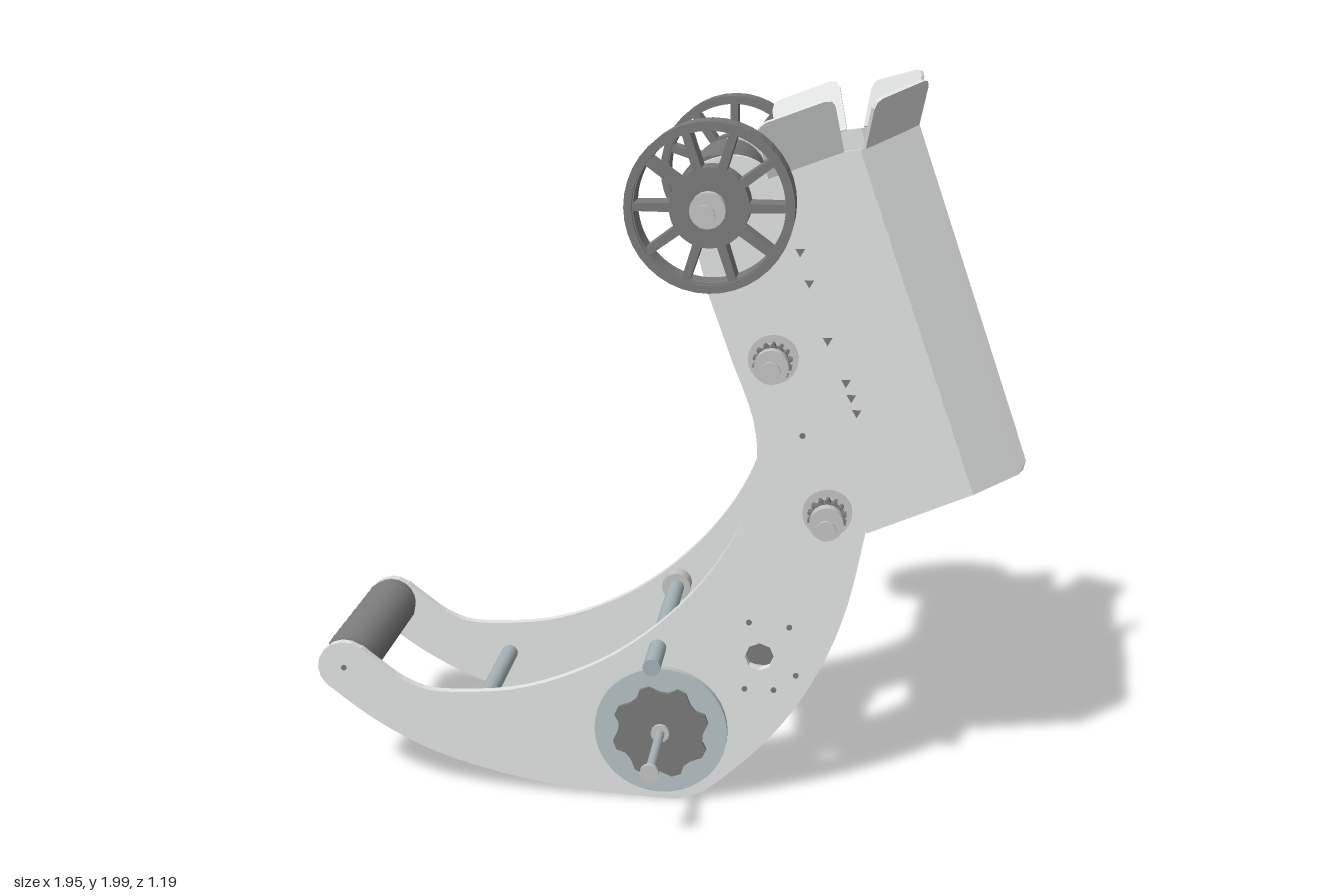
import * as THREE from 'three';
import { ConvexGeometry } from 'three/addons/geometries/ConvexGeometry.js';

const material = (name, color) => {
  const m = new THREE.MeshStandardMaterial({ color });
  m.name = name;
  return m;
};

export function createModel() {
  const model = new THREE.Group();
  const sheet = material('light sheet metal', 0xe2e3e3);
  const dark = material('dark rubber', 0x7a7a7a);
  const steel = material('blue steel', 0xa6b2b7);
  const disc = material('pale disc', 0xb6c2c5);
  const hubGrey = material('hub grey', 0xc4c4c4);
  const V = (x, y, z) => new THREE.Vector3(x, y, z);

  const add = (name, geo, mat, x = 0, y = 0, z = 0) => {
    const m = new THREE.Mesh(geo, mat);
    m.name = name;
    m.position.set(x, y, z);
    model.add(m);
    return m;
  };
  // Cylinder along z between z0 and z1
  const rod = (name, x, y, r, z0, z1, mat, sides = 20, r2 = r) => {
    const geo = new THREE.CylinderGeometry(r2, r, Math.abs(z1 - z0), sides);
    geo.rotateX(Math.PI / 2);
    return add(name, geo, mat, x, y, (z0 + z1) / 2);
  };
  // Extruded shape centred on its own z
  const extrude = (shape, depth, curveSegments = 10) => {
    const geo = new THREE.ExtrudeGeometry(shape, { depth, bevelEnabled: false, curveSegments });
    return geo.translate(0, 0, -depth / 2);
  };
  const circlePath = (x, y, r) => new THREE.Path().absarc(x, y, r, 0, Math.PI * 2, true);
  // Toothed outline
  const gearShape = (teeth, rIn, rOut) => {
    const s = new THREE.Shape();
    for (let i = 0; i < teeth; i++) {
      [[0, rIn], [0.3, rOut], [0.55, rOut], [0.75, rIn]].forEach(([f, r], k) => {
        const a = ((i + f) / teeth) * Math.PI * 2;
        s[i || k ? 'lineTo' : 'moveTo'](r * Math.cos(a), r * Math.sin(a));
      });
    }
    s.closePath();
    return s;
  };
  // Thin flat panel from corner points
  const slab = (name, corners, t = 0.01) => {
    const n = corners[1].clone().sub(corners[0]).cross(corners[2].clone().sub(corners[0])).setLength(t / 2);
    const pts = corners.flatMap((c) => [c.clone().add(n), c.clone().sub(n)]);
    return add(name, new ConvexGeometry(pts), sheet);
  };
  // Flap with clipped outer corners: base corner a, base edge e, reach d
  const flap = (name, a, e, d) => slab(name,
    [[0, 0], [1, 0], [1, 0.84], [0.96, 0.96], [0.88, 1], [0.12, 1], [0.04, 0.96], [0, 0.84]]
      .map(([u, v]) => a.clone().addScaledVector(e, u).addScaledVector(d, v)));

  // Curved side plate outline
  const v2 = (list) => list.map(([x, y]) => new THREE.Vector2(x, y));
  const plate = new THREE.Shape();
  plate.moveTo(-0.95, 0.3);
  plate.splineThru(v2([[-0.8, 0.19], [-0.6, 0.095], [-0.3, 0.025], [0, 0.002], [0.07, 0.01], [0.14, 0.045],
    [0.3, 0.2], [0.42, 0.38], [0.5, 0.58], [0.55, 0.82]]));
  plate.lineTo(0.32, 1.65);
  plate.splineThru(v2([[0.29, 1.75], [0.2, 1.8], [0.09, 1.77], [0.06, 1.68]]));
  plate.lineTo(0.125, 1.44);
  plate.lineTo(0.19, 1.26);
  plate.splineThru(v2([[0.247, 1.1], [0.252, 0.95], [0.2, 0.79], [0.1, 0.635], [-0.04, 0.495], [-0.2, 0.39],
    [-0.4, 0.315], [-0.62, 0.295], [-0.72, 0.32], [-0.8, 0.375], [-0.85, 0.415]]));
  plate.absarc(-0.9, 0.355, 0.075, 0.9, Math.PI + 0.8, false);
  plate.holes.push(circlePath(0.27, 0.44, 0.04), circlePath(-0.01, 0.455, 0.024));
  const plateGeo = extrude(plate, 0.024, 4);

  // Spoked wheel disc
  const wheel = new THREE.Shape().absarc(0, 0, 0.205, 0, Math.PI * 2, false);
  const spokes = 10;
  for (let i = 0; i < spokes; i++) {
    const a = ((i + 0.5) / spokes) * Math.PI * 2;
    const hole = new THREE.Path();
    hole.absarc(0, 0, 0.188, a - 0.26, a + 0.26, false);
    hole.absarc(0, 0, 0.1, a + 0.2, a - 0.2, true);
    hole.closePath();
    wheel.holes.push(hole);
  }
  const wheelGeo = extrude(wheel, 0.09, 18);
  const tyre = new THREE.Shape().absarc(0, 0, 0.212, 0, Math.PI * 2, false);
  tyre.holes.push(circlePath(0, 0, 0.192));
  const tyreGeo = extrude(tyre, 0.112, 20);
  const smallGear = extrude(gearShape(14, 0.042, 0.052), 0.03);

  const rollers = [[0.14, 1.69], [0.295, 1.275], [0.445, 0.86]];
  const boltSpots = [[0.24, 0.54], [0.35, 0.53], [0.23, 0.345], [0.31, 0.345], [0.37, 0.39], [0.375, 1.07],
    [0.16, 1.46], [-0.9, 0.355]];

  for (const s of [1, -1]) {
    add('sidePlate', plateGeo, sheet, 0, 0, s * 0.264);
    for (const [x, y] of boltSpots) rod('plateBolt', x, y, 0.008, s * 0.274, s * 0.28, dark, 8);

    // Folded guide panels with flared flaps
    const P = (x, y, z) => V(x, y, s * z);
    slab('guidePanel', [P(0.55, 0.81, 0.285), P(0.825, 0.927, 0.285), P(0.505, 1.82, 0.285),
      P(0.465, 1.815, 0.285), P(0.27, 1.745, 0.285)]);
    slab('guideFlange', [P(0.825, 0.927, 0.285), P(0.65, 1.87, 0.133), P(0.505, 1.82, 0.285),
      P(0.947, 0.949, 0.163), P(0.96, 0.958, 0.145), P(0.967, 0.98, 0.133)]);
    flap('flangeFlap', P(0.515, 1.823, 0.28), P(0.135, 0.047, -0.147), P(0.022, 0.122, 0.053));
    flap('panelFlap', P(0.275, 1.745, 0.285), P(0.19, 0.07, 0), P(-0.028, 0.137, 0.055));
    for (const [x, y] of [[0.36, 1.56], [0.385, 1.48], [0.435, 1.33], [0.485, 1.22], [0.5, 1.18], [0.515, 1.14]])
      rod('panelRivet', x, y, 0.014, s * 0.287, s * 0.292, dark, 3);

    // Wheel
    const [wx, wy] = rollers[0];
    add('wheel', wheelGeo, dark, wx, wy, s * 0.4).rotation.z = s > 0 ? 0 : Math.PI / spokes;
    add('tyre', tyreGeo, dark, wx, wy, s * 0.4);

    // Roller bearings, gears and axle ends
    rollers.forEach(([x, y], i) => {
      const out = i ? 0 : 0.12;
      rod('bearing', x, y, 0.045, s * 0.215, s * 0.29, hubGrey);
      rod('bearingFlange', x, y, 0.066, s * 0.276, s * 0.284, hubGrey, 24);
      rod('gearBoss', x, y, 0.04, s * 0.28, s * 0.35, dark, 12);
      add('rollerGear', smallGear, dark, x, y, s * 0.315);
      rod('collar', x, y, 0.045, s * (0.345 + out), s * (0.38 + out), hubGrey, 16);
      rod('axleEnd', x, y, 0.013, s * 0.28, s * (i ? 0.435 : 0.59), steel, 10);
      rod('axleHead', x, y, 0.027, s * (i ? 0.427 : 0.582), s * (i ? 0.438 : 0.593), hubGrey, 12);
    });

    rod('drumAxleHead', 0, 0.215, 0.026, s * 0.55, s * 0.562, hubGrey, 12);
    rod('handleCap', -0.9, 0.355, 0.072, s * 0.23, s * 0.252, dark, 20);
    rod('tubeCollar', -0.01, 0.455, 0.043, s * 0.2, s * 0.252, hubGrey, 16);
  }

  // Rollers
  for (const [x, y] of rollers) rod('roller', x, y, 0.105, -0.215, 0.215, dark, 32);

  // Cross rods tying the plates together
  for (const [x, y] of [[0.16, 1.46], [0.375, 1.07], [-0.535, 0.2]])
    rod('crossRod', x, y, 0.025, -0.255, 0.255, steel, 16);
  rod('crossTube', -0.01, 0.455, 0.024, -0.285, 0.42, steel, 16);

  // Bar drum with end discs
  rod('drumAxle', 0, 0.215, 0.013, -0.555, 0.555, steel, 12);
  for (let i = 0; i < 10; i++) {
    const a = (i / 10) * Math.PI * 2;
    rod('drumBar', 0.105 * Math.cos(a), 0.215 + 0.105 * Math.sin(a), 0.02, -0.26, 0.26, steel, 12);
  }
  rod('drumDisc', 0, 0.215, 0.185, 0.276, 0.295, disc, 40);
  add('drumHub', extrude(gearShape(8, 0.118, 0.136), 0.01), dark, 0, 0.215, 0.3);
  rod('hubBoss', 0, 0.215, 0.026, 0.3, 0.315, hubGrey, 12);
  add('sprocket', extrude(gearShape(28, 0.16, 0.187), 0.018), dark, 0, 0.215, -0.287);
  rod('sprocketHub', 0, 0.215, 0.11, -0.31, -0.295, dark, 10);
  rod('sprocketBoss', 0, 0.215, 0.03, -0.325, -0.31, hubGrey, 12);

  // Motor with gearbox and output gear
  rod('motorBody', 0.27, 0.44, 0.102, -0.1, 0.09, dark, 28);
  rod('motorTaper', 0.27, 0.44, 0.122, -0.13, -0.1, dark, 28, 0.102);
  rod('gearbox', 0.27, 0.44, 0.122, -0.25, -0.13, dark, 28);
  rod('motorShaft', 0.27, 0.44, 0.025, -0.43, -0.25, steel, 12);
  rod('outputFlange', 0.27, 0.44, 0.075, -0.3, -0.276, dark, 20);
  add('outputGear', extrude(gearShape(16, 0.055, 0.07), 0.035), dark, 0.27, 0.44, -0.32);
  rod('outputCollar', 0.27, 0.44, 0.045, -0.375, -0.335, hubGrey, 16);

  // Ribbed grip at the tip
  rod('grip', -0.9, 0.355, 0.066, -0.24, 0.24, dark, 20);
  for (let i = 0; i < 9; i++) {
    const z = -0.225 + i * 0.05;
    rod('gripRib', -0.9, 0.355, 0.078, z, z + 0.045, dark, 16, 0.067);
  }
  return model;
}
